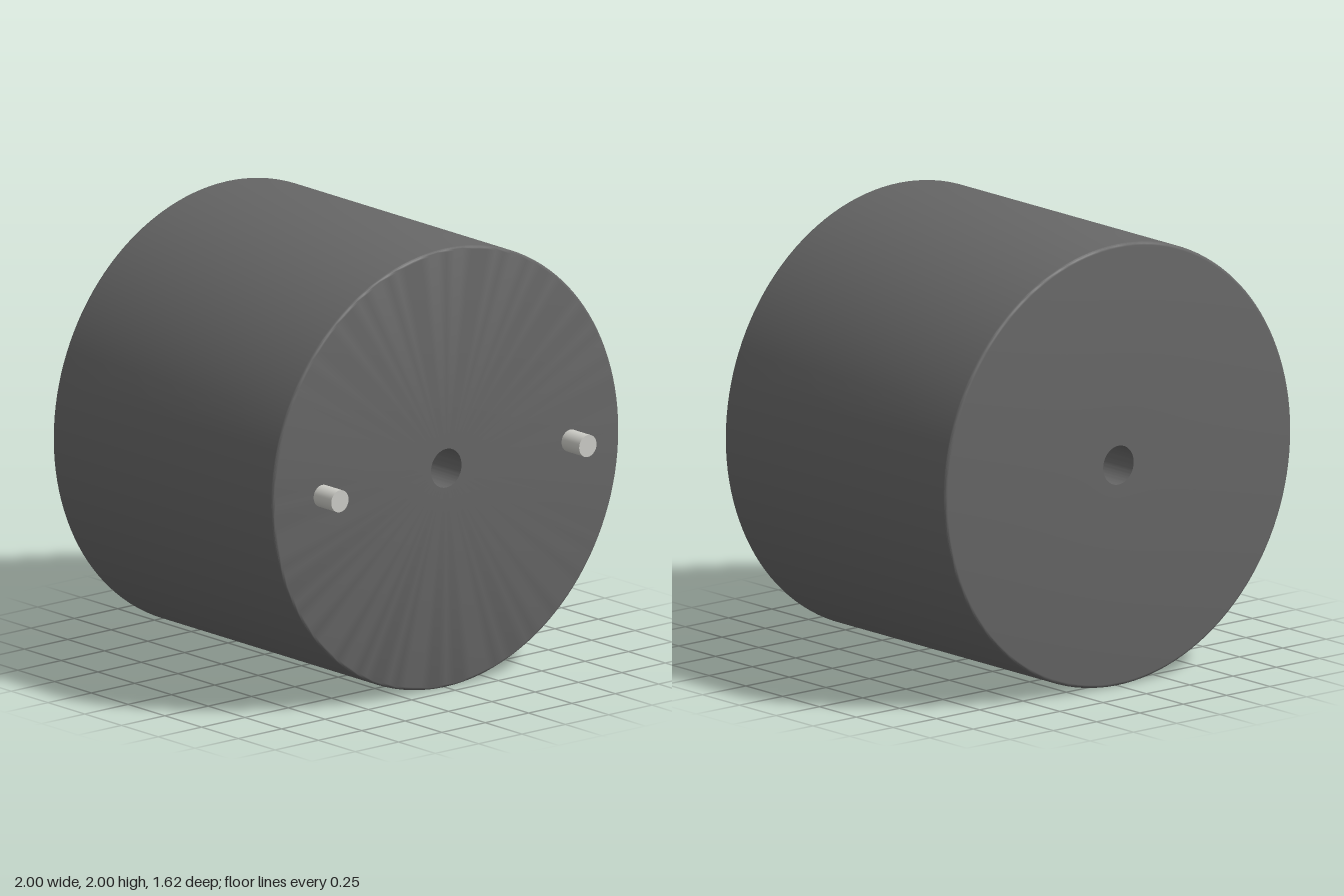
import * as THREE from 'three';
import { toCreasedNormals } from 'three/addons/utils/BufferGeometryUtils.js';

const BACK = -0.81, FRONT = 0.69, TIP = 0.81;
const RADIUS = 1, BORE = 0.088, FILLET = 0.015;

// Quarter-round edge, swept from one angle to the next
function fillet(z, from) {
  const steps = 4, points = [];
  for (let i = 0; i <= steps; i++) {
    const a = from + (i / steps) * Math.PI / 2;
    points.push(new THREE.Vector2(RADIUS - FILLET + FILLET * Math.cos(a), z + FILLET * Math.sin(a)));
  }
  return points;
}

export function createModel() {
  const model = new THREE.Group();
  model.name = 'drum';

  const dark = new THREE.MeshStandardMaterial({ color: 0x666666 });
  const light = new THREE.MeshStandardMaterial({ color: 0xccccc6 });

  // Drum with rounded rims and a bore right through it
  const profile = [
    new THREE.Vector2(BORE, BACK),
    ...fillet(BACK + FILLET, -Math.PI / 2),
    ...fillet(FRONT - FILLET, 0),
    new THREE.Vector2(BORE, FRONT),
    new THREE.Vector2(BORE, BACK),
  ];
  const bodyGeometry = toCreasedNormals(new THREE.LatheGeometry(profile, 128), 0.6);
  bodyGeometry.rotateX(Math.PI / 2);
  const body = new THREE.Mesh(bodyGeometry, dark);
  body.name = 'body';
  body.position.y = 1;
  model.add(body);

  // Pair of pins on the front face
  const length = TIP - FRONT + 0.02;
  const pinGeometry = new THREE.CylinderGeometry(0.05, 0.05, length, 48).rotateX(Math.PI / 2);
  for (const side of [-1, 1]) {
    const pin = new THREE.Mesh(pinGeometry, light);
    pin.name = side > 0 ? 'leftPin' : 'rightPin';
    pin.position.set(side * 0.715, 1, TIP - length / 2);
    model.add(pin);
  }

  return model;
}
